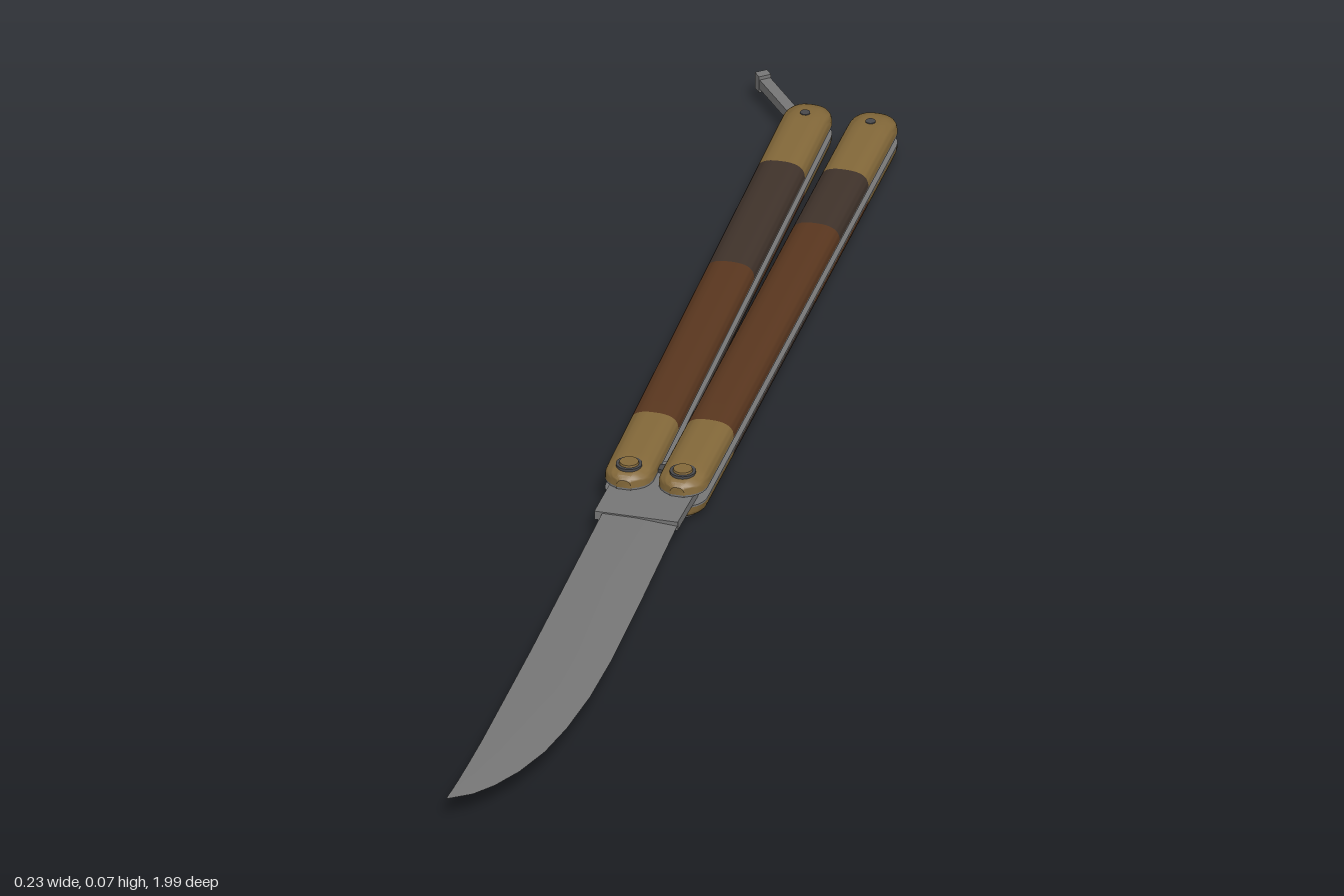
import * as THREE from 'three';
import { toCreasedNormals } from 'three/addons/utils/BufferGeometryUtils.js';

const mat = (name, color) => {
  const m = new THREE.MeshStandardMaterial({ color });
  m.name = name;
  return m;
};

// Skin closed rings (counter-clockwise seen from +z, ordered front to back), with end caps
function loft(rings, crease = 0.6) {
  const pos = [], n = rings[0].length;
  const tri = (...p) => p.forEach(v => pos.push(v.x, v.y, v.z));
  const mid = r => r.reduce((s, v) => s.add(v), new THREE.Vector3()).divideScalar(n);
  const first = rings[0], last = rings[rings.length - 1];
  const cf = mid(first), cl = mid(last);
  for (let i = 0; i < n; i++) {
    const j = (i + 1) % n;
    for (let k = 0; k < rings.length - 1; k++) {
      const a = rings[k], b = rings[k + 1];
      tri(a[i], b[i], a[j]);
      tri(a[j], b[i], b[j]);
    }
    tri(cf, first[i], first[j]);
    tri(cl, last[j], last[i]);
  }
  const g = new THREE.BufferGeometry();
  g.setAttribute('position', new THREE.Float32BufferAttribute(pos, 3));
  g.computeVertexNormals();
  return toCreasedNormals(g, crease);
}

// Handle measures, z relative to the pivot
const FRONT = 0.03, REAR = -1.015, HALF = 0.034, LINER = 0.0075, BASE = 0.0102, RISE = 0.0228;
const endRound = (d, r) => {
  const t = 1 - Math.min(d / r, 1);
  return Math.sqrt(Math.max(1 - t * t, 0));
};
const halfWidth = z => HALF * Math.max(0.3, Math.min(
  endRound(FRONT - z, 0.034), 0.45 + 0.55 * endRound(z - REAR, 0.03)));
const rise = z => RISE * (0.5 + 0.5 * Math.min(
  endRound(FRONT - z, 0.06), endRound(z - REAR, 0.06)));
const steps = [0, 0.002, 0.006, 0.012, 0.02, 0.03, 0.045, 0.06];

// Domed cross-section with a flat inner side
function section(z) {
  const w = halfWidth(z), h = rise(z), pts = [];
  for (let i = 0; i <= 18; i++) {
    const a = Math.PI * i / 18, c = Math.cos(a), s = Math.max(Math.sin(a), 0);
    pts.push(new THREE.Vector3(
      w * Math.sign(c) * Math.abs(c) ** 0.75, BASE + h * s ** 0.75, z));
  }
  return pts;
}

export function createModel() {
  const steel = mat('steel', 0x777777);
  const brass = mat('brass', 0x84693a);
  const wood = mat('brown wood', 0x5a371f);
  const darkWood = mat('dark wood', 0x40332b);
  const pinMetal = mat('dark steel', 0x4a4a4c);

  const model = new THREE.Group();
  model.name = 'foldingKnife';
  const add = (parent, name, geo, m, x = 0, y = 0, z = 0) => {
    const mesh = new THREE.Mesh(geo, m);
    mesh.name = name;
    mesh.position.set(x, y, z);
    parent.add(mesh);
    return mesh;
  };
  const knife = new THREE.Group();
  knife.name = 'knife';
  knife.position.y = 0.0355;
  model.add(knife);

  // Thin liner plate following the handle outline
  const zs = [...steps.map(s => FRONT - s), ...steps.map(s => REAR + s).reverse()];
  const outline = [
    ...zs.map(z => new THREE.Vector2(halfWidth(z), -z)),
    ...[...zs].reverse().map(z => new THREE.Vector2(-halfWidth(z), -z)),
  ];
  const linerGeo = new THREE.ExtrudeGeometry(new THREE.Shape(outline),
    { depth: BASE - LINER, bevelEnabled: false });
  linerGeo.rotateX(-Math.PI / 2);
  linerGeo.translate(0, LINER, 0);

  // One half of a handle: liner, two bolsters, two-tone wood and fasteners
  function scale(name, split, frontWood, rearWood) {
    const g = new THREE.Group();
    g.name = name;
    const part = (n, list, m) => add(g, n, loft(list.map(section)), m);
    add(g, 'liner', linerGeo, steel);
    part('frontBolster', [...steps.map(s => FRONT - s), -0.14], brass);
    part('frontWood', [-0.14, split], frontWood);
    part('rearWood', [split, -0.84], rearWood);
    part('rearBolster', [-0.84, ...steps.map(s => REAR + s).reverse()], brass);
    add(g, 'pivotCollar', new THREE.CylinderGeometry(0.018, 0.018, 0.018, 24), pinMetal, 0, 0.0235, 0);
    add(g, 'pivotHead', new THREE.CylinderGeometry(0.013, 0.016, 0.012, 24), brass, 0, 0.0295, 0);
    add(g, 'rearPin', new THREE.CylinderGeometry(0.007, 0.007, 0.02, 16), pinMetal, 0, 0.0238, -0.975);
    return g;
  }

  // Two slightly splayed handles
  const handles = [
    ['rightHandle', -0.003, 0.0092, -0.56],
    ['leftHandle', 0.073, -0.0075, -0.69],
  ];
  for (const [name, x, turn, split] of handles) {
    const h = new THREE.Group();
    h.name = name;
    h.position.set(x, 0, 0.11);
    h.rotation.y = turn;
    const lower = scale('lowerScale', -0.56, darkWood, wood);
    lower.rotation.z = Math.PI;
    h.add(scale('upperScale', split, wood, darkWood), lower);
    const pin = new THREE.CylinderGeometry(0.009, 0.009, 0.03, 16);
    add(h, 'pivotPin', pin, pinMetal);
    add(h, 'spacerPin', pin, steel, 0, 0, -0.975);
    knife.add(h);
  }

  // Blade rows: z, spine x, edge x, half thickness
  const rows = [
    [0.995, -0.027, -0.024, 0.0004], [0.975, -0.025, 0.005, 0.001],
    [0.945, -0.023, 0.028, 0.0015], [0.9, -0.021, 0.051, 0.002],
    [0.84, -0.019, 0.071, 0.0025], [0.77, -0.018, 0.084, 0.003],
    [0.68, -0.017, 0.093, 0.0033], [0.58, -0.016, 0.096, 0.0036],
    [0.4, -0.016, 0.094, 0.004], [0.2, -0.016, 0.09, 0.0045],
  ];
  const bladeRings = rows.map(([z, s, e, t]) => {
    const m = s + (e - s) * 0.45;
    return [[e, 0], [m, t], [s, t], [s, -t], [m, -t]]
      .map(([x, y]) => new THREE.Vector3(x, y, z));
  });
  add(knife, 'blade', loft(bladeRings, 0.3), steel);

  // Tang held between the handles
  const tang = new THREE.Shape();
  tang.moveTo(-0.027, -0.205);
  tang.lineTo(0.091, -0.205);
  tang.lineTo(0.094, -0.11);
  tang.quadraticCurveTo(0.09, -0.05, 0.06, -0.05);
  tang.lineTo(0.01, -0.05);
  tang.quadraticCurveTo(-0.022, -0.05, -0.025, -0.11);
  const tangGeo = new THREE.ExtrudeGeometry(tang, { depth: 0.013, bevelEnabled: false });
  tangGeo.rotateX(-Math.PI / 2);
  add(knife, 'tang', tangGeo, steel, 0, -0.0065, 0);
  add(knife, 'tangPin', new THREE.CylinderGeometry(0.008, 0.008, 0.024, 16), pinMetal, 0.035, 0, 0.075);

  // Latch swung out from the rear of the right handle
  const latch = new THREE.Group();
  latch.name = 'latch';
  latch.position.set(-0.012, 0, -0.873);
  latch.rotation.y = 0.68;
  add(latch, 'latchArm', new THREE.BoxGeometry(0.016, 0.0145, 0.15), steel, 0, 0, -0.073);
  add(latch, 'latchHead', new THREE.BoxGeometry(0.018, 0.025, 0.014), steel, 0, 0, -0.146);
  knife.add(latch);

  return model;
}
